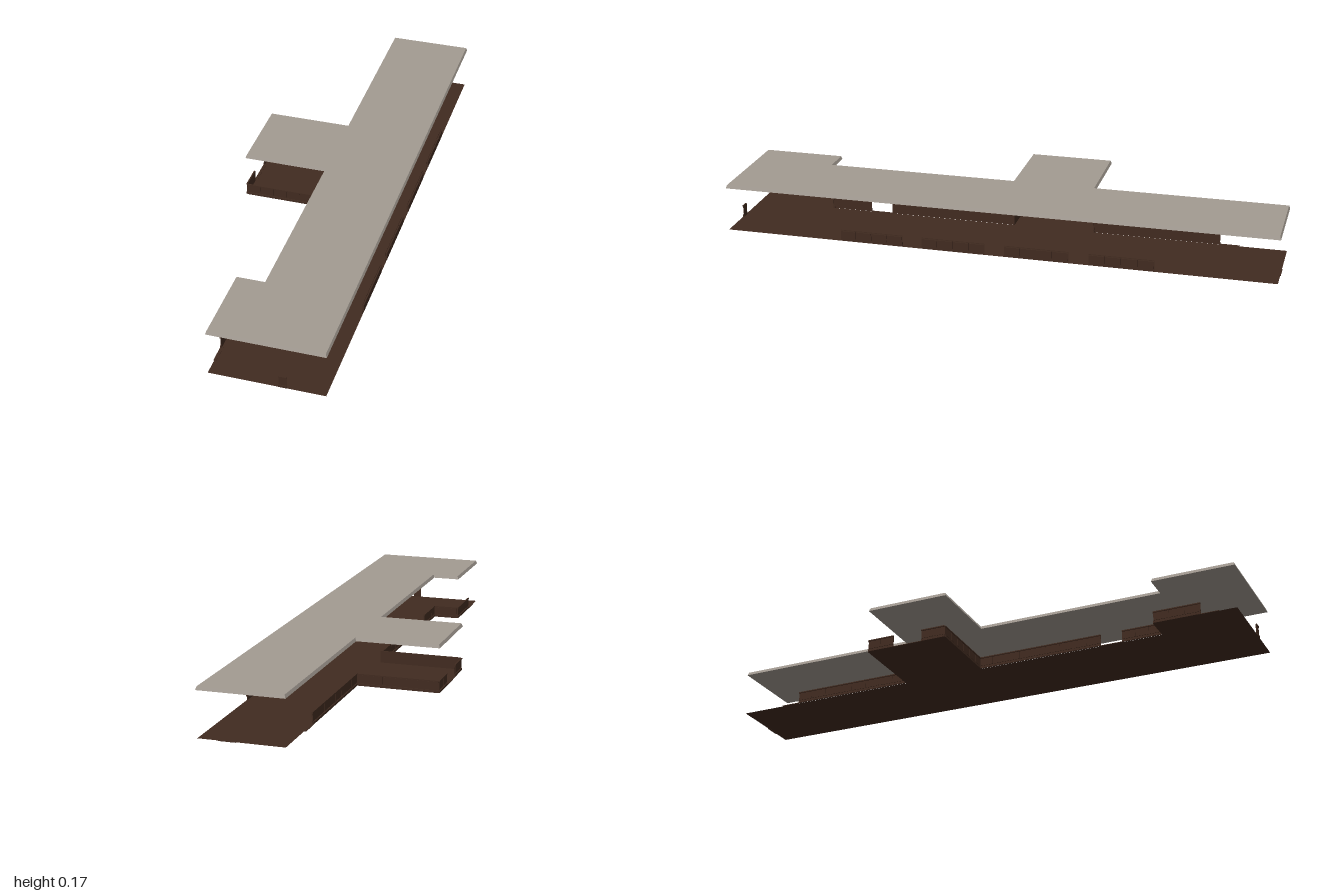
import * as THREE from 'three';

const roofGrey = new THREE.MeshStandardMaterial({ color: 0xa39b92 });
roofGrey.name = 'roofGrey';
const darkWood = new THREE.MeshStandardMaterial({ color: 0x412b20, side: THREE.DoubleSide });
darkWood.name = 'darkWood';

// Building footprint as [x, z] corners, grown outwards by o
const outline = (o) => [
  [-0.097 - o, 0.996 + o], [0.3 + o, 0.996 + o], [0.3 + o, -0.996 - o], [0.003 - o, -0.996 - o],
  [0.003 - o, -0.298 - o], [-0.3 - o, -0.298 - o], [-0.3 - o, 0 + o], [0.003 - o, 0 + o],
  [0.003 - o, 0.702 - o], [-0.097 - o, 0.702 - o],
];

// Flat plate of the footprint at height y, facing up or down
function plate(o, y, up) {
  const pts = outline(o).map(([x, z]) => new THREE.Vector2(x, up ? -z : z));
  const g = new THREE.ShapeGeometry(new THREE.Shape(pts));
  g.rotateX(up ? -Math.PI / 2 : Math.PI / 2);
  g.translate(0, y, 0);
  return g;
}

// Sloping rim joining two footprint outlines
function rim(o0, y0, o1, y1) {
  const a = outline(o0), b = outline(o1), v = [];
  a.forEach((p, i) => {
    const j = (i + 1) % a.length;
    const A = [p[0], y0, p[1]], B = [a[j][0], y0, a[j][1]];
    const C = [b[j][0], y1, b[j][1]], D = [b[i][0], y1, b[i][1]];
    v.push(...A, ...B, ...C, ...A, ...C, ...D);
  });
  const g = new THREE.BufferGeometry();
  g.setAttribute('position', new THREE.Float32BufferAttribute(v, 3));
  g.computeVertexNormals();
  return g;
}

export function createModel() {
  const model = new THREE.Group();
  const add = (parent, name, geometry, material) => {
    const m = new THREE.Mesh(geometry, material);
    m.name = name;
    parent.add(m);
    return m;
  };

  // Roof slab with a sloping edge
  const roof = new THREE.Group();
  roof.name = 'roof';
  model.add(roof);
  add(roof, 'roofTop', plate(0, 0.174, true), roofGrey);
  add(roof, 'roofUnderside', plate(0.004, 0.162, false), roofGrey);
  add(roof, 'roofEdge', rim(0.004, 0.162, 0, 0.174), roofGrey);

  add(model, 'floor', plate(0.002, 0.001, true), darkWood);

  // Low panelled wall from (x0,z0) to (x1,z1); the outside is on the right of travel
  function wall(name, x0, z0, x1, z1, trim = true) {
    const g = new THREE.Group();
    g.name = name;
    const len = Math.hypot(x1 - x0, z1 - z0);
    g.position.set((x0 + x1) / 2, 0, (z0 + z1) / 2);
    g.rotation.y = Math.atan2(-(z1 - z0), x1 - x0);
    const bar = (part, w, y0, y1, depth, x = 0) =>
      add(g, part, new THREE.BoxGeometry(w, y1 - y0, depth), darkWood).position.set(x, (y0 + y1) / 2, depth / 2);
    if (trim) {
      bar('backBoard', len, 0.001, 0.043, 0.001);
      bar('baseBoard', len, 0.001, 0.009, 0.005);
      bar('capRail', len, 0.041, 0.045, 0.005);
    } else {
      bar('backBoard', len, 0.001, 0.043, 0.001);
    }
    const n = Math.max(1, Math.round(len / 0.055)), step = len / n;
    for (let i = 0; i < n; i++) {
      bar('panel', step - 0.003, 0.012, 0.04, trim ? 0.003 : 0.006, -len / 2 + step * (i + 0.5));
    }
    model.add(g);
  }

  // Courtyard side, broken by the doorways
  wall('backWall', 0, -0.76, 0, -0.3);
  wall('wingBackWall', 0.004, -0.298, -0.3, -0.298);
  wall('wingEndWallBack', -0.3, -0.3, -0.3, -0.2);
  wall('wingEndWallFront', -0.3, -0.09, -0.3, 0);
  wall('wingFrontWall', -0.3, -0.002, 0.004, -0.002);
  wall('middleWall', 0, 0, 0, 0.47);
  wall('middleWallFront', 0, 0.55, 0, 0.702);
  wall('smallWingBackWall', 0.004, 0.702, -0.097, 0.702);
  wall('smallWingSideWall', -0.097, 0.7, -0.097, 0.87);

  // Front end stub and four panelled bays on the long side
  wall('frontWall', 0.141, 0.994, 0.17, 0.994);
  for (let i = 0; i < 4; i++) {
    const z = 0.565 - i * 0.3025;
    wall('bayWall', 0.3, z, 0.3, z - 0.232, false);
  }

  // Door sills projecting slightly past the floor edge
  const sill = (x, z, w, d) =>
    add(model, 'doorSill', new THREE.BoxGeometry(w, 0.002, d), darkWood).position.set(x, 0.001, z);
  sill(0, -0.795, 0.01, 0.07);
  sill(0, 0.51, 0.01, 0.08);
  sill(-0.097, 0.9, 0.01, 0.07);
  sill(-0.3, -0.145, 0.01, 0.11);
  sill(0.2, -0.996, 0.06, 0.008);

  return model;
}
